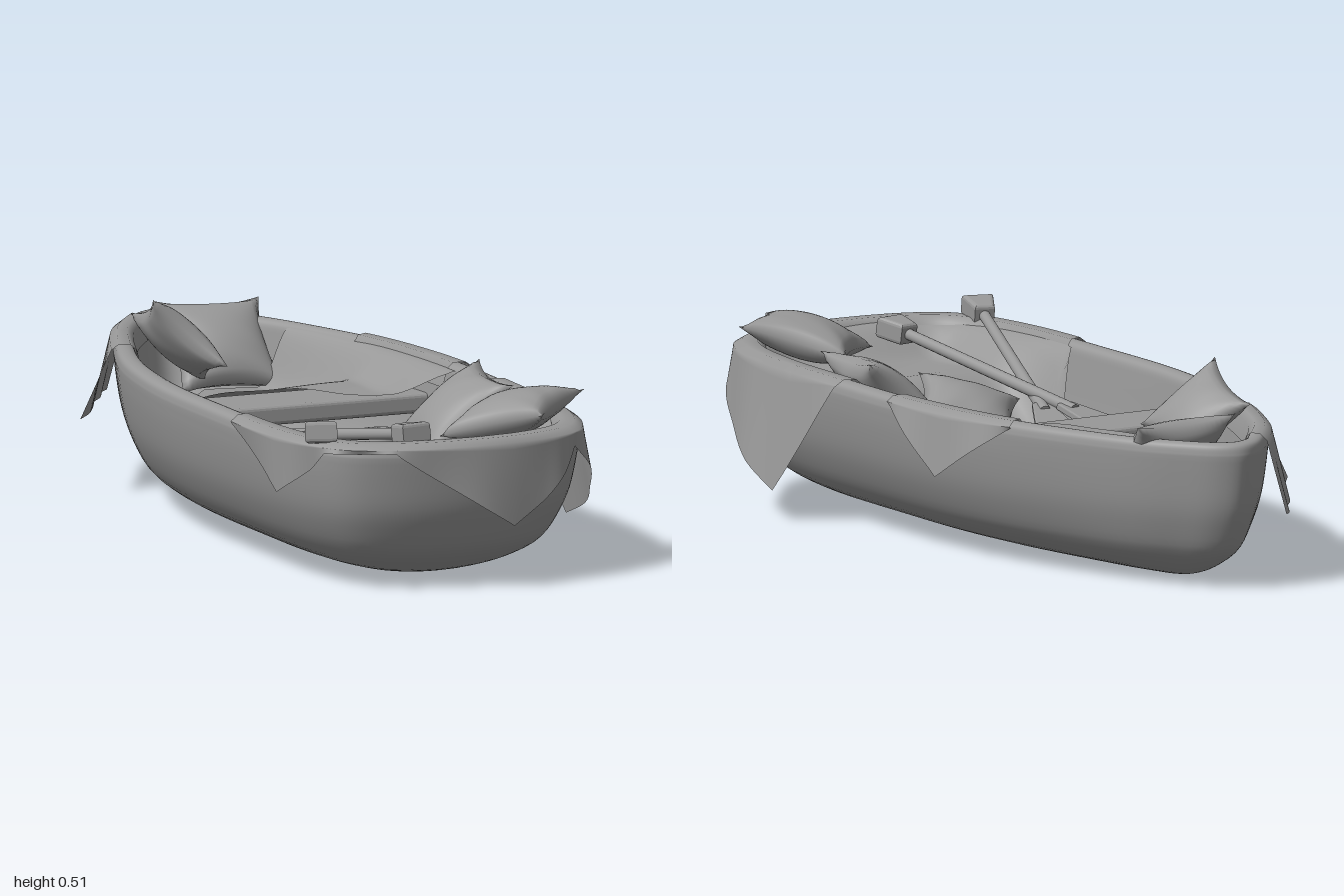
import * as THREE from 'three';
import { mergeVertices, mergeGeometries } from 'three/addons/utils/BufferGeometryUtils.js';

const V = (x, y, z) => new THREE.Vector3(x, y, z);
const { lerp, smoothstep } = THREE.MathUtils;
const CX = -0.035; // hull centreline
const mat = new THREE.MeshStandardMaterial({ color: 0x989898 });
const thin = new THREE.MeshStandardMaterial({ color: 0x989898, side: THREE.DoubleSide });

// Gunwale outline seen from above: bow (-z) -> left side -> stern -> right side
const half = [[0.06, -0.975], [0.13, -0.9], [0.2, -0.8], [0.29, -0.6], [0.36, -0.4], [0.4, -0.2],
  [0.42, 0], [0.42, 0.3], [0.41, 0.6], [0.37, 0.8], [0.31, 0.9], [0.2, 0.955]];
const outline = new THREE.CatmullRomCurve3([
  V(0, 0, -1), ...half.map(([x, z]) => V(x, 0, z)), V(0, 0, 0.98),
  ...half.slice().reverse().map(([x, z]) => V(-x, 0, z))], true);

// Outline parameter at a given z on side +1 / -1
function uAt(side, z) {
  let a = 0, b = 0.5;
  for (let i = 0; i < 30; i++) {
    const m = (a + b) / 2;
    if (outline.getPoint(m).z < z) a = m; else b = m;
  }
  return side > 0 ? a : 1 - a;
}
const innerHalf = z => Math.abs(outline.getPoint(uAt(1, z / 0.985)).x) * 0.85;

function ringPoint(u, sx, sz, y) {
  const p = outline.getPoint((u + 1) % 1);
  return V(CX + p.x * sx, y, p.z * sz);
}

// Hull levels: width scale, height, length scale
const outer = new THREE.CatmullRomCurve3([V(0, 0.001, 0.6), V(0.2, 0.005, 0.68), V(0.42, 0.02, 0.77), V(0.64, 0.05, 0.85),
  V(0.8, 0.098, 0.92), V(0.89, 0.16, 0.955), V(0.945, 0.22, 0.978), V(0.985, 0.3, 0.992), V(1, 0.355, 1)]).getPoints(28);
const inside = new THREE.CatmullRomCurve3([V(1, 0.355, 1), V(0.99, 0.376, 0.996), V(0.96, 0.386, 0.985), V(0.89, 0.386, 0.955),
  V(0.86, 0.374, 0.94), V(0.845, 0.34, 0.93), V(0.79, 0.2, 0.89), V(0.68, 0.11, 0.84), V(0.55, 0.09, 0.78), V(0, 0.085, 0.6)]).getPoints(36);

// Skin a grid of points
function loft(rows) {
  const n = rows[0].length, index = [];
  for (let r = 0; r < rows.length - 1; r++)
    for (let c = 0; c < n - 1; c++) {
      const a = r * n + c;
      index.push(a, a + n, a + 1, a + 1, a + n, a + n + 1);
    }
  const g = new THREE.BufferGeometry();
  g.setAttribute('position', new THREE.Float32BufferAttribute(rows.flat().flatMap(p => p.toArray()), 3));
  g.setIndex(index);
  const welded = mergeVertices(g, 1e-5);
  welded.computeVertexNormals();
  return welded;
}

const range = n => Array.from({ length: n + 1 }, (_, i) => i / n);

// Cloth folded over the gunwale and hanging; keys are [outline u, bottom height, flare]
function flap(keys) {
  const cols = keys.slice(1).flatMap((b, i) => range(20).slice(i ? 1 : 0).map(t => b.map((v, k) => lerp(keys[i][k], v, t))));
  const over = [[0.82, 0.92, 0.33], [0.85, 0.935, 0.378], [0.89, 0.955, 0.392], [0.97, 0.988, 0.392]];
  const rows = over.map(([sx, sz, y]) => cols.map(([u]) => ringPoint(u, sx, sz, y)));
  range(12).forEach(v => rows.push(cols.map(([u, bottom, flare]) => {
    const t = outline.getTangent((u + 1) % 1);
    const out = 0.008 + flare * v + 0.005 * v * Math.sin(u * 130);
    return ringPoint(u, 1, 1, lerp(0.378, bottom, v)).add(V(t.z * out, 0, -t.x * out));
  })));
  return loft(rows);
}

// Cloth lying inside the boat and climbing the walls
function lining(z0, z1, left, right, base) {
  return loft(range(44).map(v => {
    const z = lerp(z0, z1, v), w = innerHalf(z);
    const l = Math.max(left(z), CX - w), r = Math.min(right(z), CX + w);
    return range(32).map(t => {
      const x = lerp(l, r, t), b = base(z);
      const f = Math.abs(x - CX) / w;
      const fold = 0.006 * Math.sin(z * 26 + x * 9);
      return V(x, lerp(b, 0.38, smoothstep(f, 0.6, 1)) + fold * (1 - f), z);
    });
  }));
}

// Cushion given by its centre, one corner and the direction it faces
function pillow(centre, corner, facing) {
  const sides = [1, -1].map(s => {
    const g = new THREE.PlaneGeometry(2, 2, 20, 20);
    g.rotateX(-Math.PI / 2 * s);
    const p = g.attributes.position;
    for (let i = 0; i < p.count; i++) {
      const x = p.getX(i), z = p.getZ(i);
      const puff = Math.sqrt(Math.max(0, (1 - x * x) * (1 - z * z)));
      const crease = 1 + 0.08 * Math.sin(x * 9 + z * 4) * (x * x + z * z) / 2;
      p.setXYZ(i, x * (1 - 0.15 * (1 - z * z)), s * 0.39 * puff * crease, z * (1 - 0.15 * (1 - x * x)));
    }
    g.deleteAttribute('uv');
    g.deleteAttribute('normal');
    return g;
  });
  const g = mergeVertices(mergeGeometries(sides), 1e-4);
  g.rotateY(Math.PI / 4);
  const c = V(...centre), d = V(...corner).sub(c), size = d.length() / Math.SQRT2;
  d.normalize();
  const n = V(...facing);
  n.addScaledVector(d, -n.dot(d)).normalize();
  g.scale(size, size, size);
  g.applyMatrix4(new THREE.Matrix4().makeBasis(d, n, d.clone().cross(n)).setPosition(c));
  g.computeVertexNormals();
  return g;
}

// Tapered slab running along z
function taper(w0, w1, length, thick, bevel) {
  const s = new THREE.Shape([[-w0, 0], [w0, 0], [w1, length], [-w1, length]].map(([x, y]) => new THREE.Vector2(x / 2, y)));
  return new THREE.ExtrudeGeometry(s, { depth: thick, bevelEnabled: true, bevelSize: bevel, bevelThickness: bevel, bevelSegments: 3 })
    .translate(0, 0, -thick / 2).rotateX(Math.PI / 2);
}

function oar(grip, tip) {
  const g = new THREE.Group();
  g.name = 'oar';
  const len = grip.distanceTo(tip);
  const add = (name, geo, z) => {
    const m = new THREE.Mesh(geo, mat);
    m.name = name;
    m.position.z = z;
    g.add(m);
  };
  add('oarGrip', taper(0.06, 0.035, 0.06, 0.035, 0.01), -0.02);
  add('oarShaft', new THREE.CylinderGeometry(0.016, 0.014, len - 0.2, 16).rotateX(Math.PI / 2), (len - 0.2) / 2);
  add('oarBlade', taper(0.04, 0.13, 0.24, 0.01, 0.004), len - 0.24);
  g.position.copy(grip);
  g.lookAt(tip);
  return g;
}

export function createModel() {
  const boat = new THREE.Group();
  boat.name = 'rowingBoat';
  const add = (name, geo, m = mat) => {
    const mesh = new THREE.Mesh(geo, m);
    mesh.name = name;
    boat.add(mesh);
  };

  // Hull shell with rounded gunwale and floor
  const us = range(120);
  add('hull', loft([...outer, ...inside.slice(1)].map(l => us.map(u => ringPoint(u, l.x, l.z, l.y)))));

  // Thwart
  add('bench', taper(0.7, 0.7, 0.16, 0.03, 0.01).translate(CX, 0.275, -0.25));

  // Stern blanket: lining plus edge with hanging corners
  add('sternBlanket', lining(-0.05, 0.94, z => 0.02 - (z + 0.05) * 0.95, z => 0.02 + (z + 0.05) * 0.95,
    z => lerp(lerp(0.11, 0.3, smoothstep(z, 0.3, 0.6)), 0.384, smoothstep(z, 0.78, 0.92))), thin);
  add('sternBlanketEdge', flap([[uAt(1, 0.25), 0.375, 0], [uAt(1, 0.47), 0.08, 0.058], [uAt(1, 0.9), 0.34, 0],
    [0.48, 0.165, 0.005], [0.54, 0.37, 0], [uAt(-1, 0.85), 0.365, 0], [uAt(-1, 0.66), 0.235, -0.012], [uAt(-1, 0.43), 0.375, 0]]), thin);

  // Bow blanket
  add('bowBlanket', lining(-0.66, 0.06, z => (z < -0.42 ? lerp(-0.25, -0.05, (-0.42 - z) / 0.24) : lerp(-0.25, 0.3, (z + 0.42) / 0.48)),
    () => 1, z => lerp(0.23, 0.31, smoothstep(z, -0.5, -0.25))), thin);
  add('bowBlanketCorner', flap([[uAt(1, -0.45), 0.375, 0], [uAt(1, -0.21), 0.22, 0.025], [uAt(1, 0.01), 0.375, 0]]), thin);
  add('bowThrow', flap([[uAt(-1, -0.56), 0.2, 0.075], [uAt(-1, -0.75), 0.19, 0.04], [uAt(-1, -0.94), 0.19, 0.05]]), thin);

  // Cushions
  [[[0.175, 0.405, 0.74], [0.375, 0.45, 0.74], [-0.22, 1, -0.14]],
    [[-0.06, 0.26, 0.35], [-0.02, 0.33, 0.52], [-0.1, 0.9, -0.4]],
    [[0.2, 0.33, 0.32], [0.33, 0.435, 0.19], [-0.6, 0.8, -0.1]],
    [[0.03, 0.33, -0.74], [0.18, 0.425, -0.84], [0, 0.72, 0.7]],
    [[-0.155, 0.385, -0.58], [-0.26, 0.51, -0.505], [0.62, 0.68, -0.05]]]
    .forEach(args => add('cushion', pillow(...args)));

  // Crossed oars
  boat.add(oar(V(-0.385, 0.41, 0.81), V(-0.13, 0.22, 0)), oar(V(-0.13, 0.385, 0.8), V(-0.27, 0.24, -0.07)));
  return boat;
}
